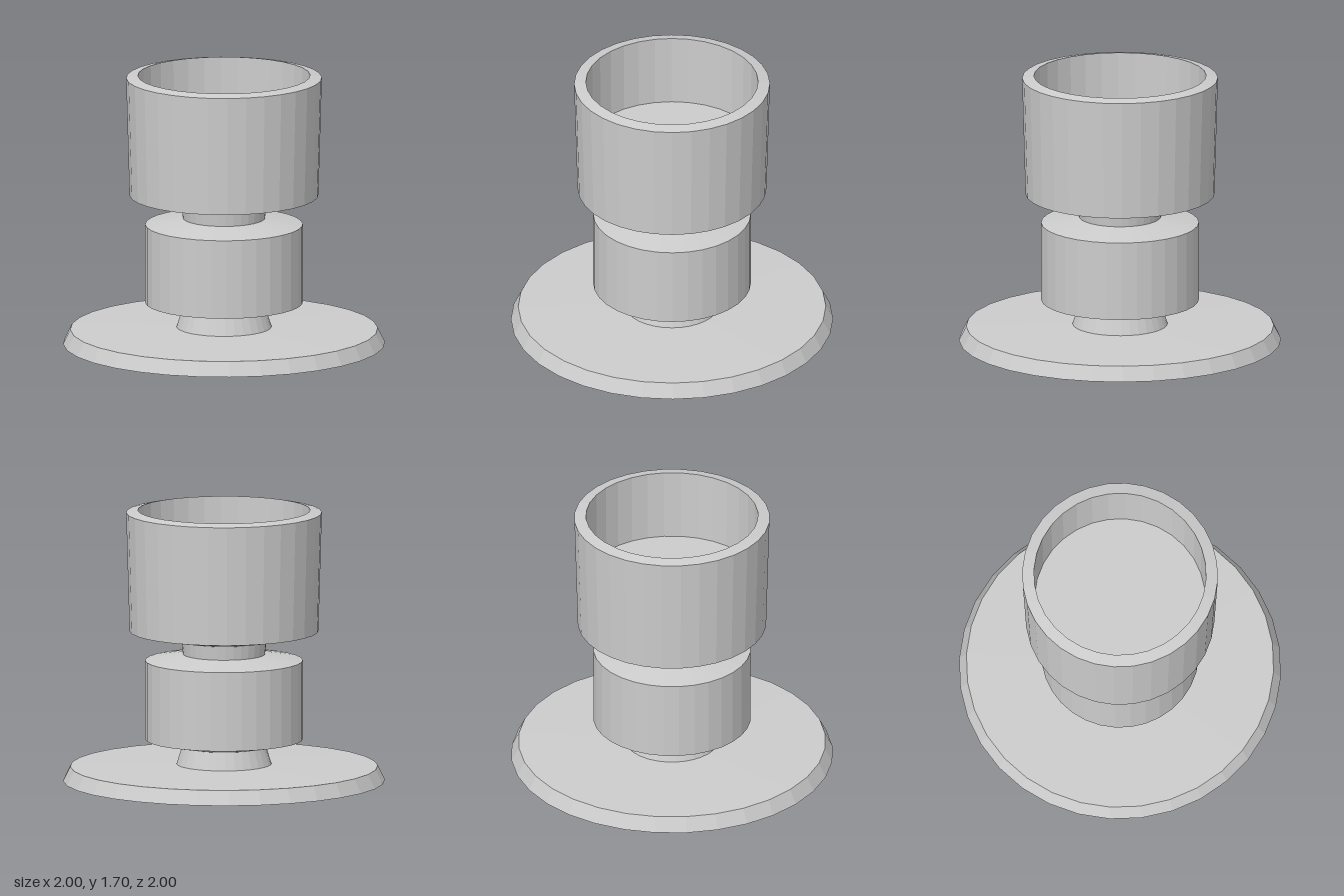
import * as THREE from 'three';

const SIDES = 32;

export function createModel() {
  const model = new THREE.Group();
  model.name = 'pedestalCup';
  const grey = new THREE.MeshStandardMaterial({ color: 0xcccccc });
  grey.name = 'plainGrey';
  grey.flatShading = true;

  // Turns a profile of [radius, height] points, listed upwards along the outside
  const turn = (name, profile) => {
    const points = profile.map(([r, y]) => new THREE.Vector2(r, y));
    const mesh = new THREE.Mesh(new THREE.LatheGeometry(points, SIDES), grey);
    mesh.name = name;
    model.add(mesh);
  };

  // Wide foot with a bevelled rim and a gently rising top
  turn('basePlate', [[0, 0], [1, 0], [0.955, 0.09], [0.295, 0.105]]);

  // Tapered neck between foot and body
  turn('lowerNeck', [[0.295, 0.105], [0.26, 0.215]]);

  // Drum with conical shoulders
  turn('body', [[0.26, 0.215], [0.49, 0.26], [0.49, 0.755], [0.255, 0.795]]);

  // Short neck flaring up to the cup
  turn('upperNeck', [[0.255, 0.795], [0.265, 0.88]]);

  // Open cup: outer wall, sloped rim, inner wall and floor
  turn('cup', [
    [0.265, 0.88], [0.587, 0.94], [0.608, 1.685], [0.535, 1.7],
    [0.53, 1.25], [0, 1.25],
  ]);

  return model;
}
